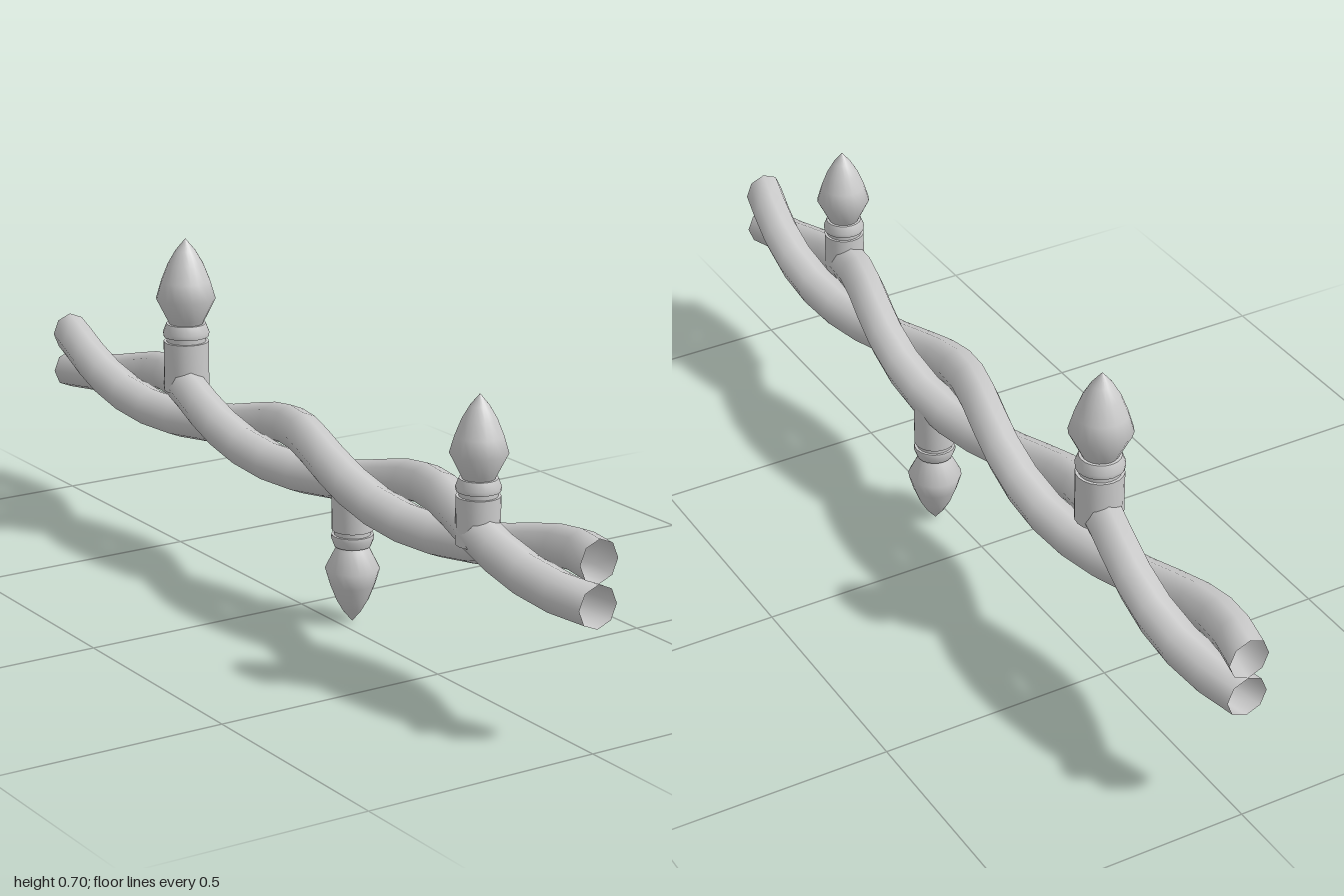
import * as THREE from 'three';
import { mergeVertices, toCreasedNormals } from 'three/addons/utils/BufferGeometryUtils.js';

const grey = new THREE.MeshStandardMaterial({ color: 0xcccccc });
const greyDouble = new THREE.MeshStandardMaterial({ color: 0xcccccc, side: THREE.DoubleSide });

const AXIS_X = 0.003, AXIS_Y = 0.331;
const TWIST_RADIUS = 0.044, WIRE_RADIUS = 0.0435;

// Open tube along z whose cross-sections are shifted onto a helix (one turn per unit)
function createWire(name, phase) {
  const geo = new THREE.CylinderGeometry(WIRE_RADIUS, WIRE_RADIUS, 2, 8, 24, true);
  geo.rotateX(Math.PI / 2);
  const pos = geo.attributes.position;
  for (let i = 0; i < pos.count; i++) {
    const a = phase + Math.PI / 2 + pos.getZ(i) * Math.PI * 2;
    pos.setX(i, pos.getX(i) + AXIS_X + Math.cos(a) * TWIST_RADIUS);
    pos.setY(i, pos.getY(i) + AXIS_Y + Math.sin(a) * TWIST_RADIUS);
  }
  geo.deleteAttribute('normal');
  geo.deleteAttribute('uv');
  const welded = mergeVertices(geo, 1e-5);
  welded.computeVertexNormals();
  const mesh = new THREE.Mesh(welded, greyDouble);
  mesh.name = name;
  return mesh;
}

// Turned part from [radius, height] pairs, bottom to top
function turned(name, profile, crease) {
  const points = profile.map(([r, y]) => new THREE.Vector2(r, y));
  let geo = new THREE.LatheGeometry(points, 20);
  if (crease) geo = toCreasedNormals(geo, crease);
  const mesh = new THREE.Mesh(geo, grey);
  mesh.name = name;
  return mesh;
}

// Bulb with socket, standing on y = 0 and pointing up
function createLight(name) {
  const light = new THREE.Group();
  light.name = name;
  light.add(
    turned('socket', [[0, 0], [0.0435, 0], [0.0435, 0.096], [0.03, 0.096]], 0.6),
    turned('groove', [[0.038, 0.094], [0.038, 0.108]]),
    turned('collar', [[0.034, 0.106], [0.0435, 0.106], [0.0445, 0.114], [0.038, 0.131], [0.028, 0.131]], 0.7),
    turned('bulb', [
      [0.032, 0.13], [0.036, 0.138], [0.057, 0.18], [0.047, 0.214],
      [0.034, 0.247], [0.019, 0.273], [0, 0.296],
    ]),
  );
  return light;
}

export function createModel() {
  const model = new THREE.Group();
  model.name = 'stringLights';

  // Two wires twisted round each other
  model.add(createWire('wireA', 0), createWire('wireB', Math.PI));

  // Lights: position of the socket base, scale, and whether it hangs down
  const lights = [
    ['backLight', -0.003, 0.363, -0.46, 1.14, false],
    ['middleLight', 0.032, 0.296, 0.145, 1, true],
    ['frontLight', -0.035, 0.327, 0.675, 1, false],
  ];
  for (const [name, x, y, z, scale, hanging] of lights) {
    const light = createLight(name);
    light.position.set(x, y, z);
    light.scale.setScalar(scale);
    if (hanging) light.rotation.z = Math.PI;
    model.add(light);
  }
  return model;
}
